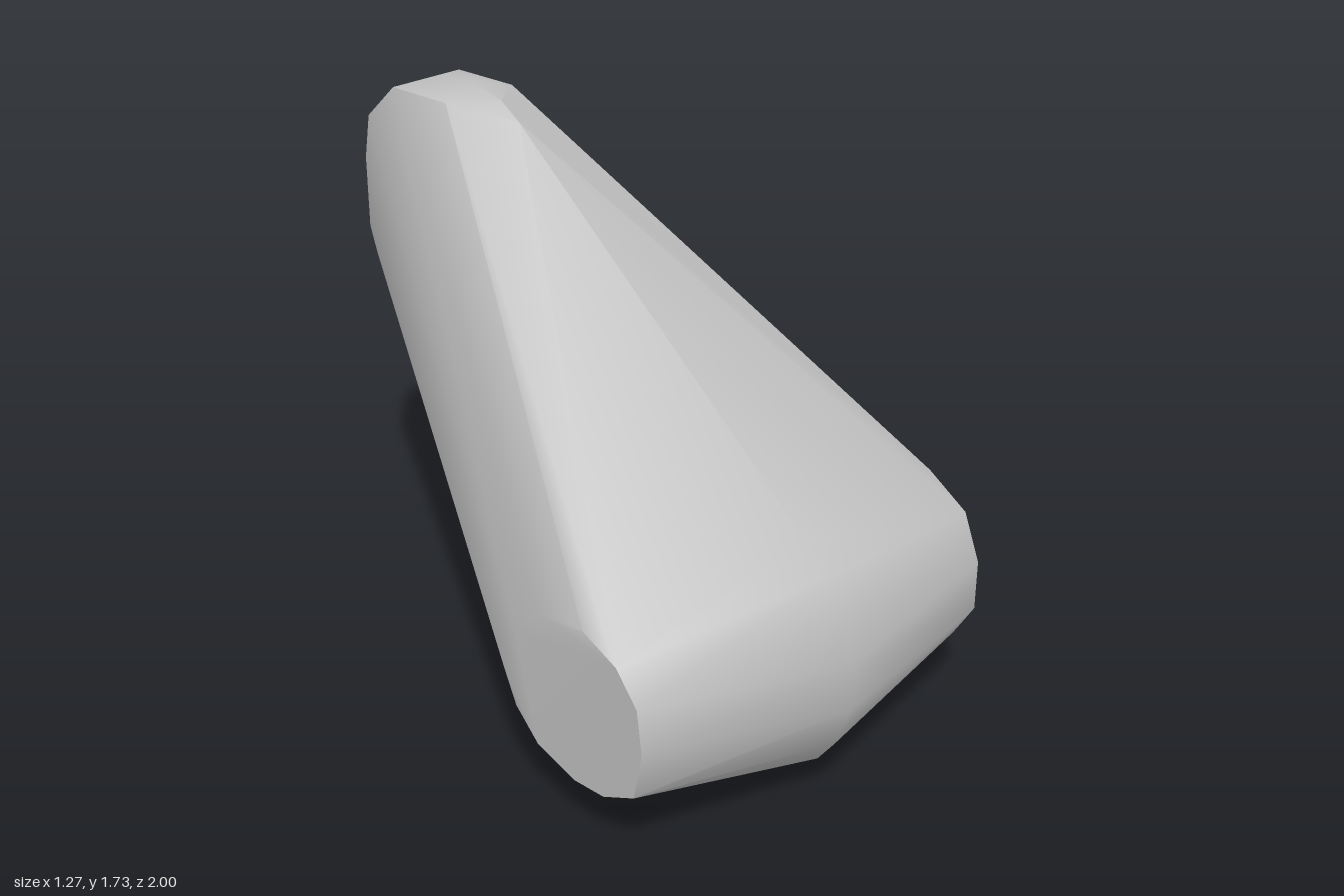
import * as THREE from 'three';
import { ConvexGeometry } from 'three/addons/geometries/ConvexGeometry.js';
import { toCreasedNormals } from 'three/addons/utils/BufferGeometryUtils.js';

// place a [z, y] outline at one x
const section = (x, outline) => outline.map(([z, y]) => new THREE.Vector3(x, y, z));

export function createModel() {
  const grey = new THREE.MeshStandardMaterial({ color: 0xbfbfbf });
  grey.name = 'lightGrey';

  // slanted rounded spine around the middle
  const spine = section(-0.03, [
    [0.81, 0.8], [0.9, 0.73], [0.96, 0.635], [1, 0.5], [1, 0.355], [0.95, 0.22], [0.89, 0.14],
    [0.7, 0.02], [0.63, 0.003], [0.46, 0], [0.4, 0.02], [0.27, 0.12],
    [-0.8, 0.98], [-0.92, 1.1], [-0.97, 1.2], [-1, 1.33], [-0.98, 1.46], [-0.93, 1.57],
    [-0.8, 1.68], [-0.7, 1.72], [-0.56, 1.73], [-0.44, 1.705], [-0.36, 1.66],
  ]);

  // flat end faces of the wide foot
  const leftEnd = section(0.635, [
    [0.67, 0.72], [0.81, 0.64], [0.87, 0.5], [0.87, 0.345], [0.8, 0.23], [0.71, 0.15],
    [0.54, 0.12], [0.39, 0.18], [0.31, 0.25], [0.255, 0.35], [0.32, 0.55], [0.39, 0.68],
  ]);
  const rightEnd = section(-0.635, [
    [0.6, 0.67], [0.73, 0.62], [0.81, 0.53], [0.83, 0.4], [0.8, 0.25], [0.68, 0.19],
    [0.56, 0.18], [0.41, 0.22], [0.32, 0.3], [0.27, 0.4], [0.32, 0.54], [0.43, 0.64],
  ]);

  // narrow rounded tip
  const tip = [[-0.55, 1.695], [-0.8, 1.68], [-0.93, 1.56], [-0.955, 1.42], [-0.95, 1.2], [-0.92, 1.12]];
  const bulge = [[-0.58, 1.58], [-0.74, 1.53], [-0.83, 1.4], [-0.82, 1.25], [-0.74, 1.12]];

  // flat underside
  const underside = [-0.11, 0.05].flatMap((x) => section(x, [[0.63, 0.008], [0.46, 0.008]]));

  const hull = new ConvexGeometry([
    ...spine, ...leftEnd, ...rightEnd, ...underside,
    ...section(0.1, tip), ...section(-0.145, tip), ...section(0.168, bulge),
  ]);
  const body = new THREE.Mesh(toCreasedNormals(hull, THREE.MathUtils.degToRad(38)), grey);
  body.name = 'taperedBody';

  const group = new THREE.Group();
  group.name = 'taperedWedge';
  group.add(body);
  return group;
}
